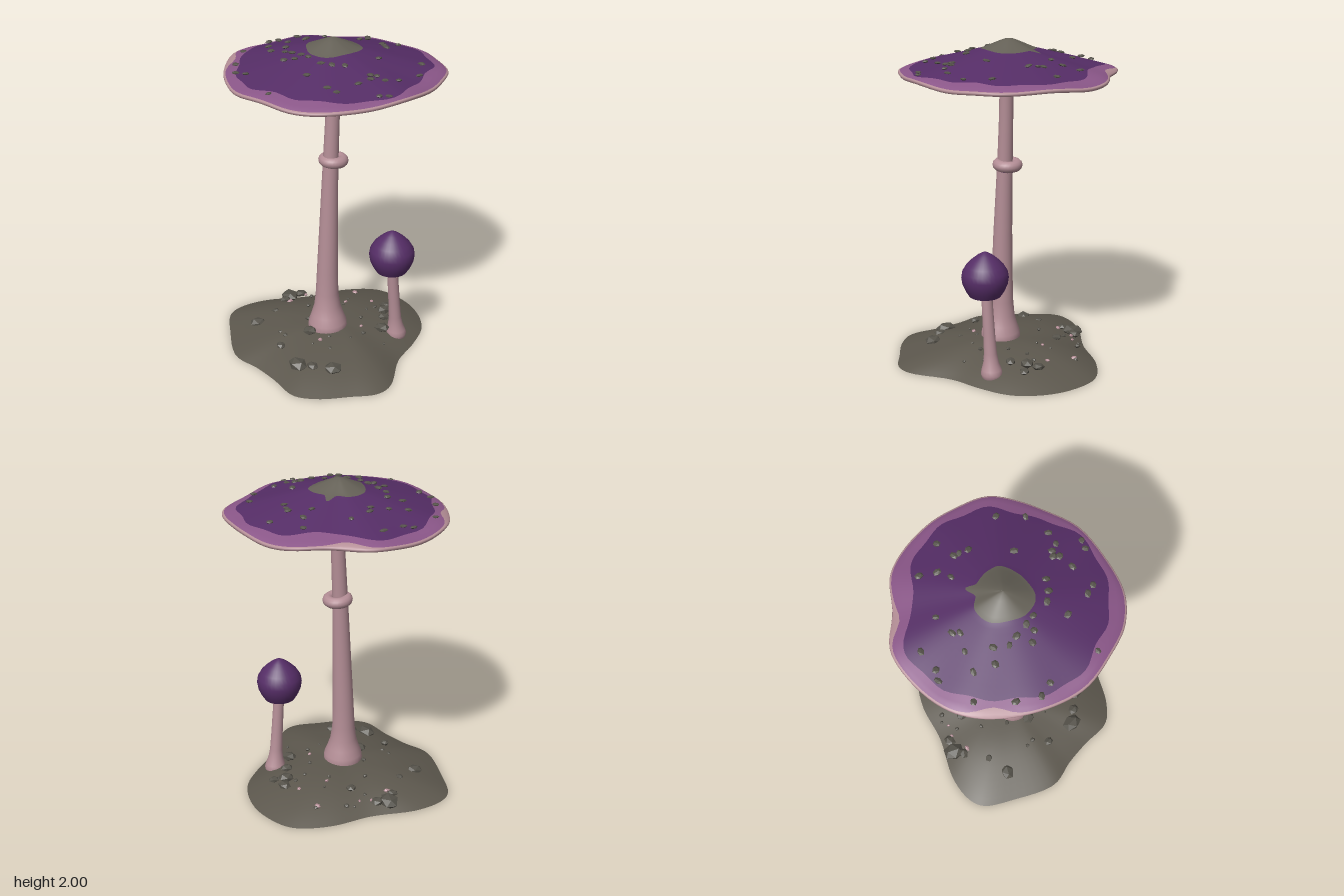
import * as THREE from 'three';

const mat = (name, color, side = THREE.FrontSide) => {
  const m = new THREE.MeshStandardMaterial({ color, side });
  m.name = name;
  return m;
};
const COLS = 96;
const V = (x, y, z) => new THREE.Vector3(x, y, z);

// closed smooth outline sampled COLS times, from [x, z] pairs
const outline = pairs => {
  const c = new THREE.CatmullRomCurve3(pairs.map(([x, z]) => V(x, 0, z)), true);
  return Array.from({ length: COLS }, (_, i) => c.getPoint(i / COLS));
};

// piecewise linear lookup
const lookup = (table, s) => {
  for (let i = 1; i < table.length; i++) {
    const [a, ya] = table[i - 1], [b, yb] = table[i];
    if (s <= b) return ya + (yb - ya) * (s - a) / (b - a);
  }
  return table[table.length - 1][1];
};

// skin over closed rings; rowMaterial gives the material index of each row
function skin(name, rows, material, rowMaterial, flip = false) {
  const n = rows[0].length, idx = [], g = new THREE.BufferGeometry();
  g.setAttribute('position', new THREE.Float32BufferAttribute(rows.flat().flatMap(p => p.toArray()), 3));
  for (let r = 0; r < rows.length - 1; r++) {
    if (rowMaterial) g.addGroup(r * n * 6, n * 6, rowMaterial(r));
    for (let c = 0; c < n; c++) {
      const a = r * n + c, b = r * n + (c + 1) % n, d = a + n, e = b + n;
      idx.push(...(flip ? [a, d, b, b, d, e] : [a, b, d, b, e, d]));
    }
  }
  g.setIndex(idx);
  g.computeVertexNormals();
  const mesh = new THREE.Mesh(g, material);
  mesh.name = name;
  return mesh;
}

// bent round body from sections [y, cx, cz, radius], listed top to bottom
const roundBody = (name, sections, material, n = 28) => skin(name, sections.map(([y, cx, cz, r]) =>
  Array.from({ length: n }, (_, i) => {
    const a = i / n * Math.PI * 2;
    return V(cx + r * Math.cos(a), y, cz + r * Math.sin(a));
  })), material);

export function createModel() {
  const model = new THREE.Group();
  model.name = 'mushrooms';
  const soil = mat('soil', 0x5c574d, THREE.DoubleSide);
  const crown = mat('crownGrey', 0x646056);
  const stone = mat('stone', 0x55524a);
  const purple = mat('capPurple', 0x552d66);
  const mauve = mat('capMauve', 0x8a5688);
  const pink = mat('stemPink', 0xb48e96);
  const gillMat = mat('gillBrown', 0x86696f, THREE.DoubleSide);
  let seed = 7;
  const rnd = () => (seed = (seed * 16807) % 2147483647) / 2147483647;

  // ground mound, open underneath
  const groundEdge = outline([[.63, -.1], [.57, -.3], [.38, -.43], [.12, -.5], [-.14, -.62], [-.32, -.64],
    [-.42, -.6], [-.53, -.42], [-.64, -.15], [-.6, .03], [-.58, .2], [-.57, .4], [-.47, .51], [-.3, .6],
    [-.15, .67], [-.04, .65], [.17, .46], [.35, .37], [.52, .25], [.61, .08]]);
  const moundY = s => .12 * (1 - Math.min(1, s) ** 2.2);
  const groundRows = [];
  for (let k = 0; k <= 14; k++) {
    const s = k / 14;
    groundRows.push(groundEdge.map(p => {
      const x = p.x * s, z = p.z * s;
      return V(x, moundY(s) + .006 * Math.sin(11 * x + 2) * Math.sin(9 * z) * (1 - s), z);
    }));
  }
  model.add(skin('ground', groundRows, soil));

  // stones and pebbles
  const stones = new THREE.Group();
  stones.name = 'stones';
  const addStone = (x, y, z, r, flat, m, parent, name) => {
    const g = new THREE.IcosahedronGeometry(r, 0).toNonIndexed();
    const s = new THREE.Mesh(g, m);
    g.scale(1 + .3 * rnd(), flat, .8 + .3 * rnd());
    g.computeVertexNormals();
    s.position.set(x, y, z);
    s.rotation.set(.25 * (rnd() - .5), rnd() * 6.28, .25 * (rnd() - .5));
    s.name = name;
    parent.add(s);
    return s;
  };
  for (const [x, z, r] of [[-.27, .38, .055], [-.42, .22, .06], [-.36, .29, .035], [-.02, -.5, .06], [.05, -.47, .035],
    [-.08, -.46, .03], [.21, .23, .045], [.36, .05, .045], [.41, 0, .035], [.3, .13, .035], [-.37, -.33, .05],
    [-.2, .02, .045], [-.41, .01, .03], [.12, -.3, .03], [.42, .1, .03], [-.22, -.36, .025]])
    addStone(x, moundY(Math.hypot(x, z) / .62) + .012, z, r, .6, stone, stones, 'stone');
  for (let i = 0; i < 34; i++) {
    const a = rnd() * 6.28, d = .18 + .36 * rnd(), x = d * Math.cos(a), z = d * Math.sin(a) * .85;
    addStone(x, moundY(Math.hypot(x, z) / .6) + .006, z, .008 + .009 * rnd(), .8, i % 4 ? stone : pink, stones, 'pebble');
  }
  model.add(stones);

  // tall stem with swollen foot
  model.add(roundBody('tallStem', [[1.8, 0, -.005, .05], [1.75, 0, -.005, .042], [1.5, -.01, -.005, .043],
    [1.3, -.02, -.005, .046], [1.1, -.03, -.003, .05], [.8, -.042, 0, .058], [.5, -.052, 0, .066], [.35, -.055, 0, .071],
    [.26, -.056, .003, .082], [.2, -.057, .006, .1], [.15, -.057, .008, .119], [.115, -.057, .008, .123],
    [.05, -.057, .008, .115], [.03, -.057, .008, .1], [.03, -.057, .008, .1], [.03, -.057, .008, 0]], pink));

  // collar around the stem
  const collar = new THREE.Group();
  collar.name = 'collar';
  const ring = new THREE.Mesh(new THREE.TorusGeometry(.057, .034, 12, 28), pink);
  ring.name = 'collarRing';
  ring.rotation.x = Math.PI / 2;
  const under = new THREE.Mesh(new THREE.CylinderGeometry(.06, .055, .008, 28), mauve);
  under.name = 'collarUnderside';
  under.position.y = -.034;
  collar.add(ring, under);
  collar.position.set(0, 1.24, -.01);
  collar.rotation.z = -.06;
  model.add(collar);

  // broad cap: crown, purple field, mauve band and pale lip in one skin
  const centreZ = -.02;
  const rim = outline([[.64, .02], [.62, .17], [.55, .38], [.4, .5], [.25, .57], [.05, .625], [-.2, .6], [-.4, .53],
    [-.53, .4], [-.6, .22], [-.64, .02], [-.6, -.18], [-.5, -.38], [-.35, -.55], [-.2, -.625], [.05, -.65],
    [.23, -.61], [.38, -.46], [.55, -.33], [.62, -.18]]);
  const angles = rim.map(p => Math.atan2(p.z, p.x));
  const profile = [[0, 2], [.05, 1.995], [.12, 1.975], [.25, 1.938], [.5, 1.895], [.83, 1.838], [.96, 1.814], [1, 1.8]];
  const rimWave = a => .006 * Math.sin(5 * a) + .004 * Math.sin(9 * a + 1);
  const gauss = (a, c, w) => Math.exp(-(((a - c) / w) ** 2));
  const capPoint = (i, s, y) => V(rim[i].x * s, y + rimWave(angles[i]) * s ** 3, rim[i].z * s + centreZ);
  const bounds = angles.map(a => [0,
    .25 + .012 * Math.sin(3 * a) + .09 * gauss(a, -.6, .13),
    .875 + .022 * Math.sin(4 * a + 1) + .013 * Math.sin(13 * a) + .04 * gauss(a, 1.6, .4) - .06 * gauss(a, -.75, .35),
    .985 - .06 * gauss(a, -1, .14) - .07 * gauss(a, -2.3, .16), 1]);
  const steps = [6, 12, 4, 3], capRows = [], zone = [];
  steps.forEach((n, b) => {
    for (let k = 0; k < n; k++) {
      zone.push(b);
      capRows.push(rim.map((_, i) => {
        const s = bounds[i][b] + (bounds[i][b + 1] - bounds[i][b]) * k / n;
        return capPoint(i, s, lookup(profile, s));
      }));
    }
  });
  for (const [s, y] of [[1, 1.8], [1.003, 1.793], [.995, 1.784], [.97, 1.782]]) {
    capRows.push(rim.map((_, i) => capPoint(i, s, y)));
    zone.push(3);
  }
  model.add(skin('broadCap', capRows, [crown, purple, mauve, pink], r => zone[r]));

  // underside with a darker hub
  const underRows = [0, .1, .24, .4, .6, .8, .97].map(s =>
    rim.map((_, i) => capPoint(i, s, 1.788 - .006 * s)));
  model.add(skin('capUnderside', underRows, [gillMat, pink], r => r < 2 ? 0 : 1, true));

  // thin gills hanging below the cap, every second one shorter
  const gillPos = [], gillIdx = [];
  for (let i = 0; i < COLS; i++) {
    const start = i % 2 ? .42 : .14, base = gillPos.length / 3, bend = .02 * Math.sin(i * 2.3);
    for (let k = 0; k <= 6; k++) {
      const t = k / 6, s = start + (.95 - start) * t;
      const drop = (.018 + .008 * Math.sin(i * 1.7)) * Math.sin(Math.PI * Math.min(1, .1 + t * .9));
      const p = capPoint(i, s, 1.787 - .006 * s), w = bend * Math.sin(t * 3);
      const dx = -w * Math.sin(angles[i]), dz = w * Math.cos(angles[i]);
      gillPos.push(p.x + dx, p.y, p.z + dz, p.x + dx, p.y - drop, p.z + dz);
      const a = base + k * 2;
      if (k < 6) gillIdx.push(a, a + 1, a + 2, a + 1, a + 3, a + 2);
    }
  }
  const gillGeo = new THREE.BufferGeometry();
  gillGeo.setAttribute('position', new THREE.Float32BufferAttribute(gillPos, 3));
  gillGeo.setIndex(gillIdx);
  gillGeo.computeVertexNormals();
  const gills = new THREE.Mesh(gillGeo, gillMat);
  gills.name = 'gills';
  model.add(gills);

  // flat warts scattered on the cap
  const warts = new THREE.Group();
  warts.name = 'warts';
  const spots = [[-.09, -.57], [-.04, -.54], [.09, -.53], [-.3, -.51], [-.19, -.41], [-.08, -.37], [.04, -.35],
    [.01, -.32], [.17, -.35], [-.45, -.35], [-.24, -.3], [-.17, -.25], [-.52, -.23], [-.22, -.18], [-.5, -.15],
    [-.21, -.12], [-.29, -.08], [-.25, -.03], [-.2, -.04], [-.19, .02], [-.18, .13], [-.14, .18], [-.08, .22],
    [-.3, .17], [-.54, .16], [-.28, .34], [-.26, .4], [-.11, .39], [0, .35], [-.02, .38], [.03, .37], [.05, .42],
    [.13, .44], [-.07, .53], [-.02, .55], [.29, .42], [.4, .3], [.16, .21], [.34, .04], [.36, -.01], [.37, -.04],
    [.5, -.05], [.28, -.14], [.36, -.17], [.42, -.25]];
  for (const [x, z] of spots) {
    const a = Math.atan2(z - centreZ, x);
    const near = rim.reduce((m, p, i) => Math.cos(angles[i] - a) > Math.cos(angles[m] - a) ? i : m, 0);
    const s = Math.hypot(x, z - centreZ) / Math.hypot(rim[near].x, rim[near].z);
    addStone(x, lookup(profile, s) + .006, z, .021, .4, stone, warts, 'wart');
  }
  model.add(warts);

  // small mushroom: leaning stem and closed cap
  const small = new THREE.Group();
  small.name = 'smallMushroom';
  small.add(roundBody('smallStem', [[.56, .252, .265, .033], [.45, .262, .264, .034], [.3, .276, .262, .036],
    [.18, .288, .26, .039], [.12, .294, .259, .047], [.08, .299, .258, .06], [.055, .301, .258, .066],
    [.03, .301, .258, .06], [.02, .301, .258, .05], [.02, .301, .258, .05], [.02, .301, .258, 0]], pink, 20));
  const capProfile = [[.095, .535], [.117, .57], [.134, .61], [.14, .65], [.134, .685], [.112, .722],
    [.08, .755], [.045, .784], [.018, .8], [0, .805]].map(([r, y]) => new THREE.Vector2(r, y));
  const smallCap = new THREE.Mesh(new THREE.LatheGeometry(capProfile, 32), purple);
  smallCap.name = 'smallCap';
  smallCap.position.set(.243, 0, .27);
  const smallUnder = new THREE.Mesh(new THREE.CircleGeometry(.095, 32), gillMat);
  smallUnder.name = 'smallCapUnderside';
  smallUnder.rotation.x = Math.PI / 2;
  smallUnder.position.set(.243, .536, .27);
  small.add(smallCap, smallUnder);
  model.add(small);
  return model;
}
